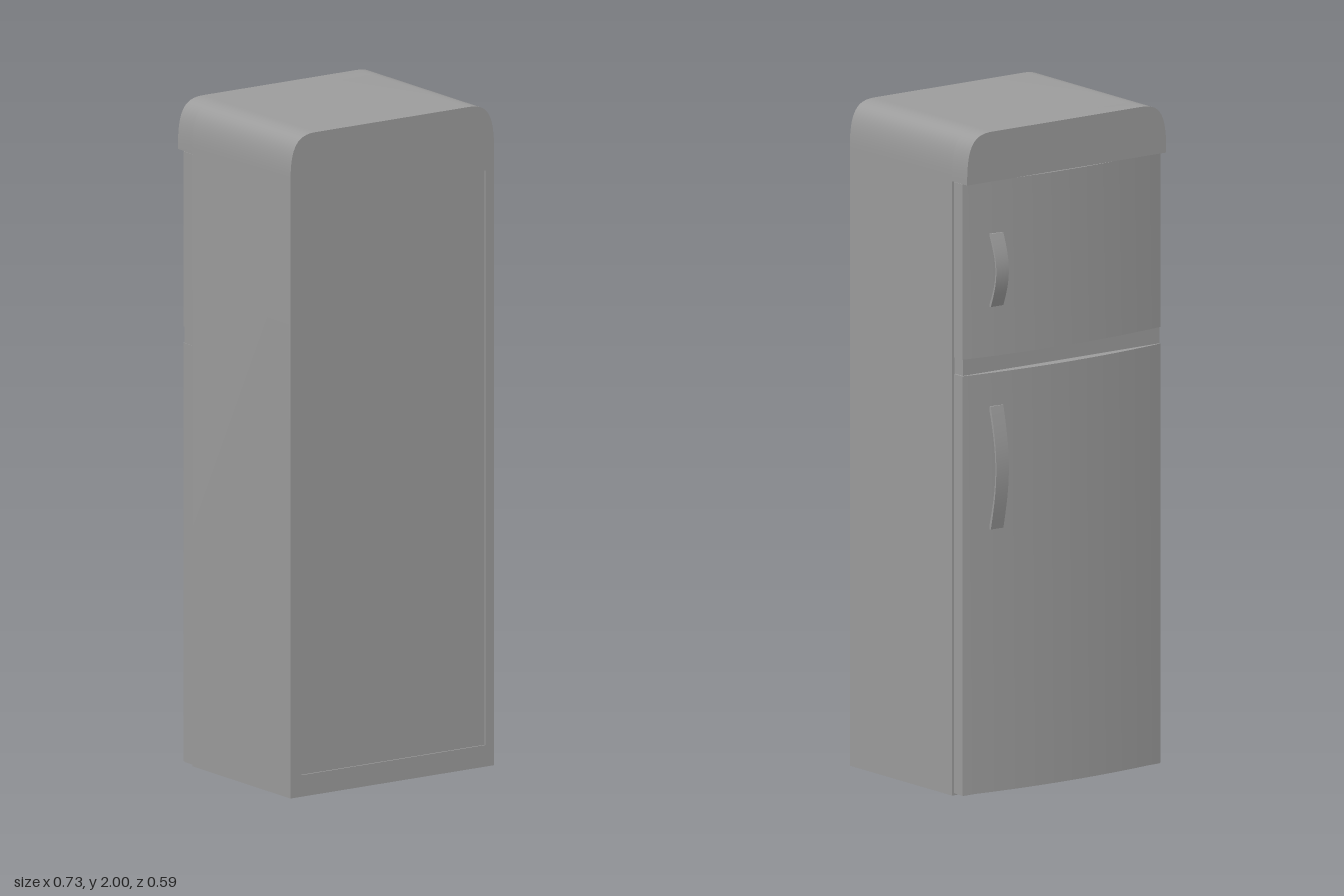
import * as THREE from 'three';
import { toCreasedNormals } from 'three/addons/utils/BufferGeometryUtils.js';

const W = 0.366, TOP = 2;

// Cabinet outline with rounded upper corners, starting at height y0
function outline(y0) {
  const s = new THREE.Shape();
  s.moveTo(-W, y0);
  s.lineTo(W, y0);
  s.lineTo(W, 1.86);
  s.bezierCurveTo(W, 1.97, 0.34, TOP, 0.275, TOP);
  s.lineTo(-0.275, TOP);
  s.bezierCurveTo(-0.34, TOP, -W, 1.97, -W, 1.86);
  s.closePath();
  return s;
}

function extrude(shape, depth) {
  return new THREE.ExtrudeGeometry(shape, { depth, bevelEnabled: false, curveSegments: 16 });
}

export function createModel() {
  const group = new THREE.Group();
  const material = new THREE.MeshStandardMaterial({ color: 0x9c9c9c });
  const add = (name, geometry) => {
    const mesh = new THREE.Mesh(toCreasedNormals(geometry, 0.6), material);
    mesh.name = name;
    group.add(mesh);
    return mesh;
  };

  // Cabinet body
  add('cabinet', extrude(outline(0), 0.495)).position.z = -0.205;

  // Thin frame around a barely recessed panel on the plain side
  const frame = outline(0);
  const hole = new THREE.Path();
  hole.moveTo(-0.327, 0.065);
  hole.lineTo(-0.327, 1.8);
  hole.lineTo(0.335, 1.8);
  hole.lineTo(0.335, 0.065);
  hole.closePath();
  frame.holes.push(hole);
  add('panelFrame', extrude(frame, 0.005)).position.z = 0.29;

  // Overhanging top cap above the doors
  add('topCap', extrude(outline(1.85), 0.073)).position.z = -0.278;

  // Strip behind the doors, flush on the hinge side
  const spacer = add('doorSpacer', new THREE.BoxGeometry(0.722, 1.845, 0.042));
  spacer.position.set(-0.004, 0.9275, -0.225);

  // Doors with a shallow bowed face, flush at the hinges and a fine seam at the handles
  const edge = 0.25, bow = 0.028, open = 0.363;
  const bowed = (x) => edge + bow * (1 - (x / W) ** 2);
  function door(name, y0, y1) {
    const s = new THREE.Shape();
    s.moveTo(-W, 0.205);
    s.lineTo(open, 0.209);
    for (let i = 0; i <= 24; i++) {
      const x = THREE.MathUtils.lerp(open, -W, i / 24);
      s.lineTo(x, bowed(x));
    }
    s.closePath();
    const g = extrude(s, y1 - y0);
    g.rotateX(-Math.PI / 2);
    add(name, g).position.y = y0;
  }
  door('lowerDoor', 0.008, 1.27);
  door('upperDoor', 1.32, 1.848);

  // Thin arched strap handles whose ends rest on the door
  function handle(name, y0, y1) {
    const h = y1 - y0, n = 20, s = new THREE.Shape();
    const arch = (t) => Math.sin(Math.PI * t);
    s.moveTo(0.26, 0);
    for (let i = 0; i <= n; i++) s.lineTo(0.27 + 0.027 * arch(i / n), (h * i) / n);
    for (let i = n; i >= 0; i--) s.lineTo(0.26 + 0.032 * arch(i / n), (h * i) / n);
    const g = extrude(s, 0.046);
    g.rotateY(Math.PI / 2); // profile depth points to -z, width to +x
    add(name, g).position.set(0.227, y0, 0);
  }
  handle('lowerHandle', 0.8, 1.17);
  handle('upperHandle', 1.47, 1.69);

  return group;
}
